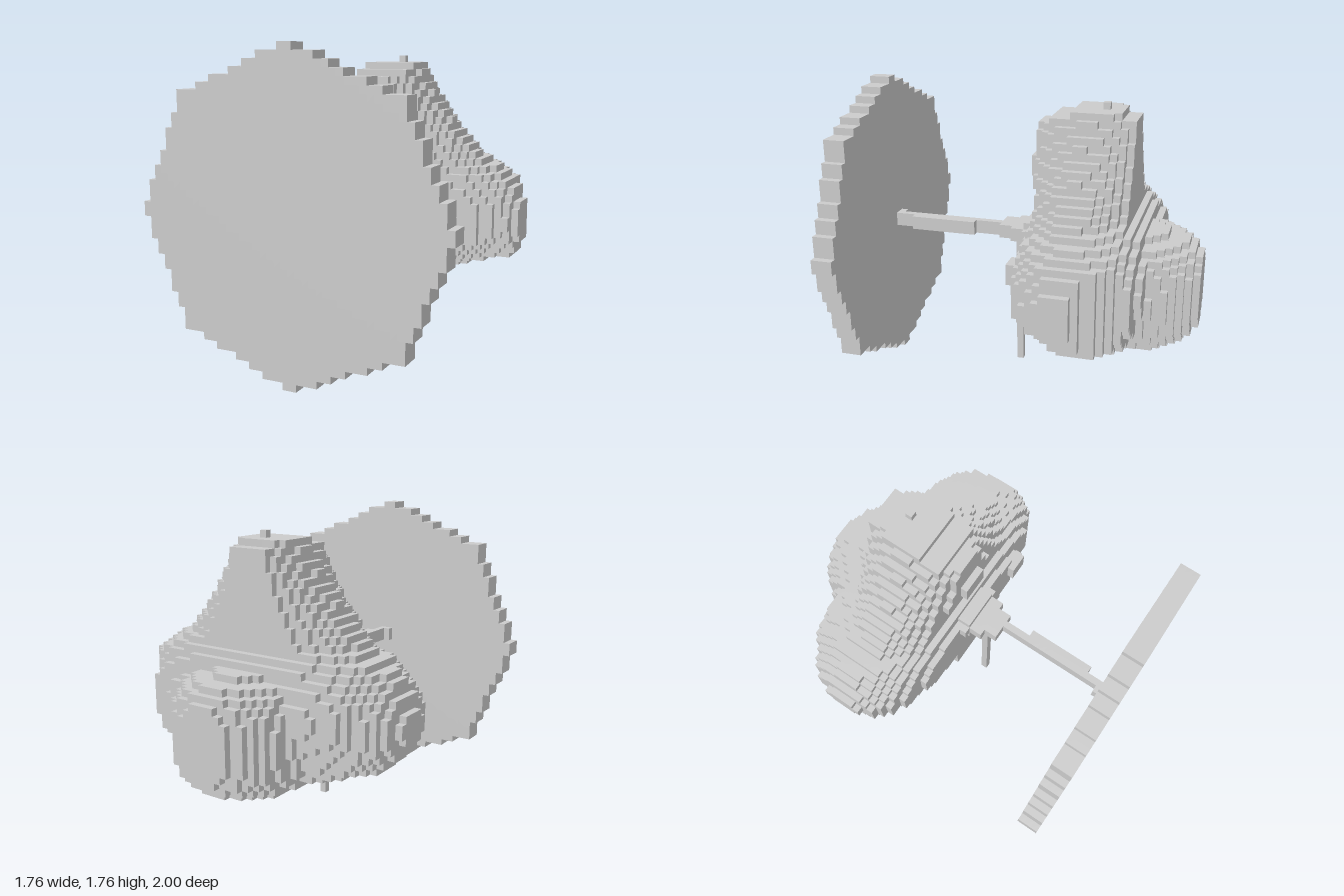
import * as THREE from 'three';

const CELL = 0.04;
const material = new THREE.MeshStandardMaterial({ color: 0xcccccc, flatShading: true });

// The grid's cells: x and z centred, y from the ground
const MIN = [-22, 0, -25], MAX = [22, 44, 25];

// Turns a solid (a test on x, y, z) into blocks, keeping only the outer faces
function blocks(name, solid) {
  const filled = (c) => c.every((v, i) => v >= MIN[i] && v < MAX[i]) &&
    solid(...c.map((v) => (v + 0.5) * CELL));
  const positions = [], indices = [];
  for (let i = MIN[0]; i < MAX[0]; i++)
    for (let j = MIN[1]; j < MAX[1]; j++)
      for (let k = MIN[2]; k < MAX[2]; k++) {
        const cell = [i, j, k];
        if (!filled(cell)) continue;
        for (let axis = 0; axis < 3; axis++)
          for (const side of [0, 1]) {
            const next = [...cell];
            next[axis] += side ? 1 : -1;
            if (filled(next)) continue;
            const u = (axis + 1) % 3, v = (axis + 2) % 3;
            const base = positions.length / 3;
            for (const [a, b] of [[0, 0], [1, 0], [1, 1], [0, 1]]) {
              const p = [...cell];
              p[axis] += side;
              p[u] += a;
              p[v] += b;
              positions.push(...p.map((n) => n * CELL));
            }
            const order = side ? [0, 1, 2, 0, 2, 3] : [0, 2, 1, 0, 3, 2];
            indices.push(...order.map((n) => base + n));
          }
      }
  const geometry = new THREE.BufferGeometry();
  geometry.setAttribute('position', new THREE.Float32BufferAttribute(positions, 3));
  geometry.setIndex(indices);
  geometry.computeVertexNormals();
  const mesh = new THREE.Mesh(geometry, material);
  mesh.name = name;
  return mesh;
}

// Rounded lump: centre, radii and the squareness along each axis
const lump = (centre, radii, power) => (...p) =>
  p.reduce((sum, v, i) => sum + Math.abs((v - centre[i]) / radii[i]) ** power[i], 0) <= 1;

const box = (x0, x1, y0, y1, z0, z1) => (x, y, z) =>
  x > x0 && x < x1 && y > y0 && y < y1 && z > z0 && z < z1;

const union = (...solids) => (x, y, z) => solids.some((s) => s(x, y, z));

export function createModel() {
  const model = new THREE.Group();
  model.name = 'blockModel';

  // Eight-sided upright disc at the front
  const disc = (x, y, z) => {
    const a = Math.abs(x), b = Math.abs(y - 0.88), t = Math.SQRT2 - 1;
    return z > 0.88 && a + t * b <= 0.88 && b + t * a <= 0.88;
  };
  model.add(blocks('disc', disc));

  // Wide middle: its underside rises outward and forward, one rear corner is cut
  const wide = lump([-0.01, 0.72, -0.36], [0.86, 0.42, 0.37], [3, 2, 3]);
  const middle = (x, y, z) => {
    const rise = 0.27 + Math.max(0, z + 0.35);
    const bottom = 0.32 + rise * Math.max(0, Math.abs(x) - 0.1);
    return wide(x, y, z) && y > bottom && x < 1.115 + 0.743 * z;
  };

  // Upper lobe: a hill that spreads sideways into the middle, cut flat at the back
  const upper = (x, y, z) => {
    const drop = 1.64 - y;
    if (drop < 0 || y < 0.9 || z < -0.6 || z > (y > 1.2 ? -0.04 : -0.08)) return false;
    const chamfer = 0.4 * Math.max(0, z + 0.28) + 0.5 * Math.max(0, -z - 0.5);
    const halfWidth = 0.15 + 0.55 * drop + 0.4 * drop ** 2;
    return chamfer < drop && (x / halfWidth) ** 2 + ((z + 0.33) / 0.3) ** 2 <= 1;
  };

  // Flat tapering boss that takes the rod
  const boss = (x, y, z) =>
    y > 0.84 && y < 0.92 && z > -0.1 && z < 0.2 && Math.abs(x) < 0.17 - 0.6 * z;

  const crown = union(
    middle,
    upper,
    boss,
    lump([0, 0.62, -0.62], [0.4, 0.34, 0.39], [2, 4, 2]),
    lump([-0.4, 0.76, -0.46], [0.36, 0.26, 0.29], [2, 2, 3]),
    lump([-0.06, 0.53, -0.2], [0.18, 0.2, 0.22], [2, 6, 6]),
    box(-0.12, 0.12, 0.76, 0.96, -0.12, 0.04),
    box(-0.08, 0.08, 1.24, 1.36, -0.08, 0),
    box(0.36, 0.48, 0.72, 0.84, -0.08, 0.04),
    box(0, 0.04, 1.6, 1.68, -0.44, -0.4)
  );
  model.add(blocks('crown', crown));

  // Slightly bowed rod from the crown to the disc
  const rod = union(
    box(0, 0.04, 0.84, 0.92, 0.04, 0.88),
    box(0.04, 0.08, 0.84, 0.92, 0.36, 0.76),
    box(-0.04, 0, 0.84, 0.92, 0.84, 0.88)
  );
  model.add(blocks('rod', rod));

  // Thin post down to the ground, tied back to the crown
  const post = union(
    box(-0.04, 0, 0, 0.84, 0.08, 0.12),
    box(-0.04, 0, 0.56, 0.64, 0, 0.08)
  );
  model.add(blocks('post', post));

  return model;
}
